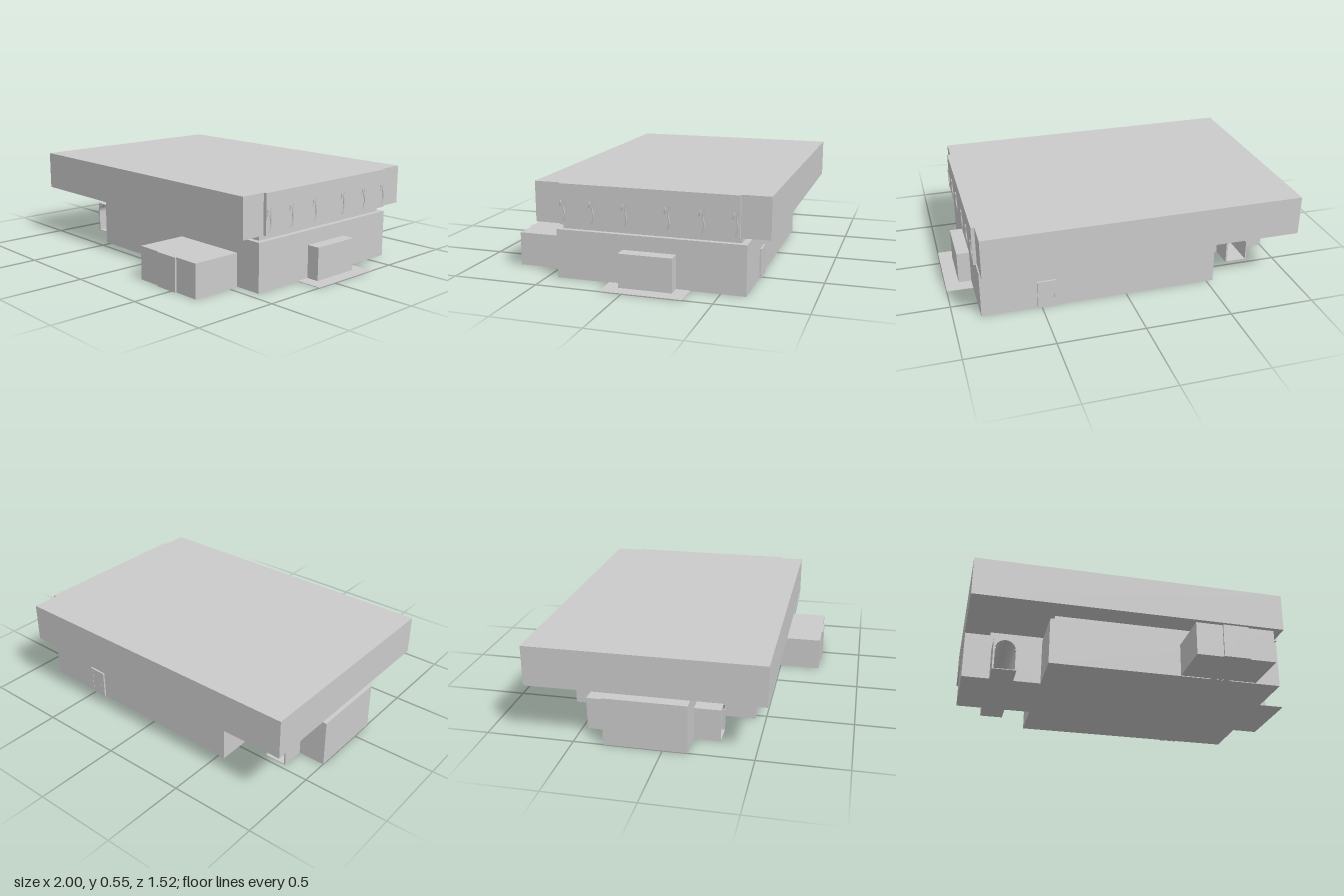
import * as THREE from 'three';

const material = new THREE.MeshStandardMaterial({ color: 0xcccccc, flatShading: true });
const smooth = new THREE.MeshStandardMaterial({ color: 0xcccccc });

export function createModel() {
  const model = new THREE.Group();
  model.name = 'building';

  // Box given by its limits on each axis
  function block(name, x0, x1, y0, y1, z0, z1, parent = model) {
    const mesh = new THREE.Mesh(new THREE.BoxGeometry(x1 - x0, y1 - y0, z1 - z0), material);
    mesh.position.set((x0 + x1) / 2, (y0 + y1) / 2, (z0 + z1) / 2);
    mesh.name = name;
    parent.add(mesh);
    return mesh;
  }

  // Wall outline with an arched doorway cut up from the ground, extruded along z
  const arch = { x0: -0.83, x1: -0.71, spring: 0.125 };
  function archedBlock(name, x0, x1, height, z0, z1) {
    const radius = (arch.x1 - arch.x0) / 2;
    const shape = new THREE.Shape();
    shape.moveTo(x0, 0);
    shape.lineTo(arch.x0, 0);
    shape.lineTo(arch.x0, arch.spring);
    shape.absarc((arch.x0 + arch.x1) / 2, arch.spring, radius, Math.PI, 0, true);
    shape.lineTo(arch.x1, 0);
    shape.lineTo(x1, 0);
    shape.lineTo(x1, height);
    shape.lineTo(x0, height);
    const geometry = new THREE.ExtrudeGeometry(shape, { depth: z1 - z0, bevelEnabled: false, curveSegments: 16 });
    const mesh = new THREE.Mesh(geometry, material);
    mesh.position.z = z0;
    mesh.name = name;
    model.add(mesh);
  }

  // Ground floor: main hall and the side wing with a passage through it
  block('mainHall', -0.54, 0.845, 0, 0.28, -0.64, 0.44);
  archedBlock('sideWing', -1, -0.54, 0.28, -0.33, 0.14);
  archedBlock('frontPorch', -0.84, -0.7, 0.19, 0.14, 0.29);
  archedBlock('backPorch', -0.84, -0.7, 0.19, -0.47, -0.33);
  block('passageFloor', -0.84, -0.7, 0, 0.004, -0.47, 0.29);

  // Small imposts where the arches spring
  for (const z of [-0.465, 0.285]) {
    for (const x of [arch.x0, arch.x1]) {
      block('archImpost', x - 0.006, x + 0.006, 0.125, 0.133, z - 0.008, z + 0.008);
    }
  }

  // Recessed band between the floors
  block('mainNeck', -0.51, 0.815, 0.28, 0.315, -0.605, 0.41);
  block('wingNeck', -0.85, -0.51, 0.28, 0.315, -0.3, 0.11);

  // Overhanging upper floor with a raised end panel
  block('upperFloor', -1, 0.845, 0.315, 0.545, -0.765, 0.56);
  block('endPanel', 0.845, 0.865, 0.315, 0.545, -0.605, 0.41);

  // Slim curved brackets on the end panel
  for (const z of [-0.59, -0.41, -0.22, 0.02, 0.21, 0.38]) {
    const bracket = new THREE.Group();
    bracket.name = 'wallBracket';
    const stem = [[0.866, 0.33, 0.008], [0.868, 0.375, -0.005], [0.869, 0.42, 0.003], [0.866, 0.46, -0.01]];
    const branch = [[0.866, 0.42, 0.025], [0.869, 0.44, 0.018], [0.867, 0.455, 0.022]];
    for (const points of [stem, branch]) {
      const curve = new THREE.CatmullRomCurve3(points.map((p) => new THREE.Vector3(...p)));
      bracket.add(new THREE.Mesh(new THREE.TubeGeometry(curve, 12, 0.004, 6), smooth));
    }
    bracket.position.z = z;
    model.add(bracket);
  }

  // Front annex with a slightly raised centre panel
  block('frontAnnex', 0.23, 0.69, 0, 0.195, 0.45, 0.747);
  block('annexPanel', 0.385, 0.535, 0, 0.195, 0.747, 0.757);

  // Side annex standing on a thin paved pad
  block('sideAnnex', 0.845, 0.92, 0, 0.195, -0.255, 0.05);
  block('pavedPad', 0.845, 1, 0, 0.003, -0.335, 0.13);

  // Framed doors on the front and back walls of the hall
  for (const [name, z] of [['backDoor', -0.645], ['frontDoor', 0.445]]) {
    const door = new THREE.Group();
    door.name = name;
    block('leftPost', 0.51, 0.525, 0, 0.17, z - 0.005, z + 0.005, door);
    block('rightPost', 0.415, 0.43, 0, 0.17, z - 0.005, z + 0.005, door);
    block('lintel', 0.415, 0.525, 0.155, 0.17, z - 0.005, z + 0.005, door);
    block('leaf', 0.43, 0.51, 0, 0.155, z - 0.003, z + 0.003, door);
    block('handle', 0.437, 0.447, 0.075, 0.08, z - 0.005, z + 0.005, door);
    model.add(door);
  }

  return model;
}
